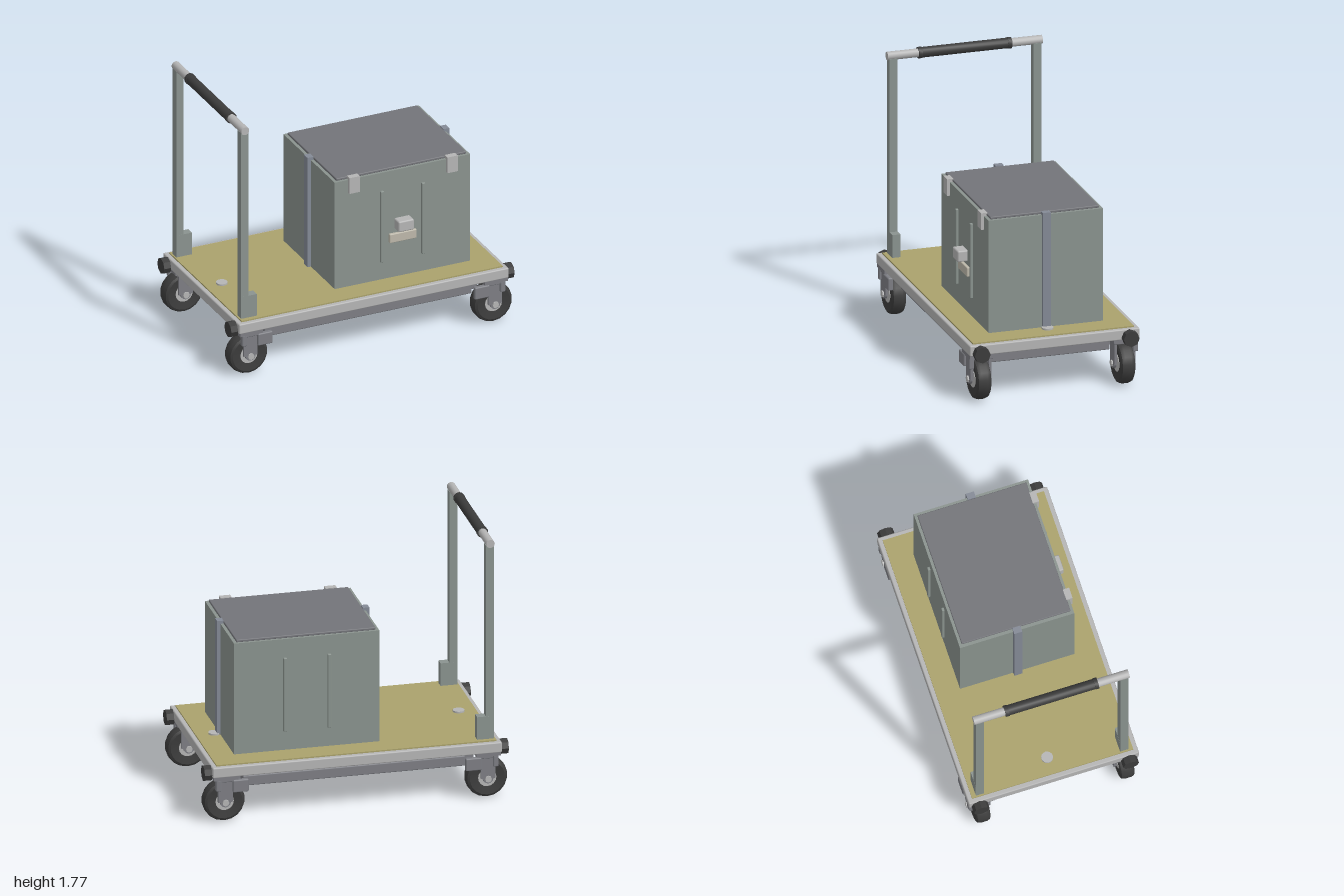
import * as THREE from 'three';
import { RoundedBoxGeometry } from 'three/addons/geometries/RoundedBoxGeometry.js';
import { toCreasedNormals } from 'three/addons/utils/BufferGeometryUtils.js';

const mat = (color) => new THREE.MeshStandardMaterial({ color });
const M = {
  light: mat(0xb5b5b5), steel: mat(0x7d7e84), dark: mat(0x5c5d61), rubber: mat(0x3c3c3c),
  post: mat(0x8a938f), shell: mat(0x8a938e), lid: mat(0x737479), strap: mat(0x848a96),
  deck: mat(0xaaa26c), cream: mat(0xbdb8aa),
};

export function createModel() {
  const model = new THREE.Group();

  const add = (name, geo, material, x, y, z, parent = model) => {
    const mesh = new THREE.Mesh(geo, material);
    mesh.name = name;
    mesh.position.set(x, y, z);
    parent.add(mesh);
    return mesh;
  };
  // Box given by its extents on each axis
  const box = (name, m, [x0, x1], [y0, y1], [z0, z1], parent, bevel = 0) => {
    const size = [x1 - x0, y1 - y0, z1 - z0];
    const geo = bevel ? new RoundedBoxGeometry(...size, 1, bevel) : new THREE.BoxGeometry(...size);
    return add(name, geo, m, (x0 + x1) / 2, (y0 + y1) / 2, (z0 + z1) / 2, parent);
  };
  // Cylinder along a chosen axis
  const rod = (name, m, r, len, axis, x, y, z, sides = 16, parent) => {
    const geo = new THREE.CylinderGeometry(r, r, len, sides);
    if (axis === 'x') geo.rotateZ(Math.PI / 2);
    if (axis === 'z') geo.rotateX(Math.PI / 2);
    return add(name, toCreasedNormals(geo, 0.6), m, x, y, z, parent);
  };

  // Deck: light outer frame, board and underside panel
  for (const s of [-1, 1]) {
    box('deckSideFrame', M.light, [-0.95, 0.95], [0.315, 0.385], s > 0 ? [0.52, 0.57] : [-0.57, -0.52], model, 0.008);
    box('deckEndFrame', M.light, s > 0 ? [0.90, 0.95] : [-0.95, -0.90], [0.315, 0.385], [-0.56, 0.56], model, 0.008);
  }
  box('deckBoard', M.deck, [-0.92, 0.92], [0.37, 0.394], [-0.54, 0.54]);
  box('undersidePanel', M.dark, [-0.91, 0.91], [0.312, 0.365], [-0.53, 0.53]);
  for (const x of [-0.805, 0.80]) rod('deckButton', M.light, 0.038, 0.012, 'y', x, 0.399, 0, 16);

  // Lower frame
  for (const s of [-1, 1]) {
    box('lowerSideRail', M.steel, [-0.73, 0.73], [0.21, 0.28], s > 0 ? [0.41, 0.48] : [-0.48, -0.41], model, 0.008);
    box('lowerEndRail', M.steel, s > 0 ? [0.73, 0.80] : [-0.80, -0.73], [0.205, 0.315], [-0.42, 0.42], model, 0.008);
  }
  for (const x of [-0.51, 0, 0.51]) {
    box('crossBar', M.steel, [x - 0.025, x + 0.025], [0.28, 0.315], [-0.48, 0.48]);
    box('crossBarFlange', M.dark, [x - 0.015, x + 0.015], [0.265, 0.28], [-0.42, 0.42]);
  }

  // Casters and corner bumpers
  const tyreProfile = [[0.055, -0.04], [0.115, -0.048], [0.13, -0.04], [0.137, -0.02], [0.137, 0.02],
    [0.13, 0.04], [0.115, 0.048], [0.055, 0.04]].map(([r, h]) => new THREE.Vector2(r, h));
  const tyreGeo = toCreasedNormals(new THREE.LatheGeometry(tyreProfile, 18).rotateX(Math.PI / 2), 0.6);
  for (const sx of [-1, 1]) for (const sz of [-1, 1]) {
    const caster = new THREE.Group();
    caster.name = 'caster';
    caster.position.set(sx * 0.862, 0, sz * 0.483);
    model.add(caster);
    add('tyre', tyreGeo, M.rubber, 0, 0.137, 0, caster);
    rod('hub', M.light, 0.06, 0.088, 'z', 0, 0.137, 0, 16, caster);
    rod('axle', M.light, 0.022, 0.16, 'z', 0, 0.137, 0, 8, caster);
    for (const s of [-1, 1]) {
      box('forkLeg', M.steel, [-0.048, 0.048], [0.14, 0.29], s > 0 ? [0.052, 0.07] : [-0.07, -0.052], caster);
      rod('forkEnd', M.steel, 0.035, 0.018, 'z', 0, 0.14, s * 0.061, 12, caster);
    }
    box('forkCrown', M.steel, [-0.065, 0.065], [0.278, 0.3], [-0.078, 0.078], caster, 0.006);
    box('casterPlate', M.steel, [-0.08, 0.08], [0.295, 0.318], [-0.085, 0.085], caster);
    // Bracket tying the caster to the lower frame
    const bx = sx > 0 ? [-0.15, -0.045] : [0.045, 0.15];
    box('casterBracket', M.steel, bx, [0.205, 0.29], sz > 0 ? [0.05, 0.085] : [-0.085, -0.05], caster, 0.008);
    box('casterBracketOuter', M.steel, sx > 0 ? [0.03, 0.066] : [-0.066, -0.03], [0.22, 0.3],
      sz > 0 ? [0.05, 0.085] : [-0.085, -0.05], caster, 0.008);
    rod('bumper', M.rubber, 0.053, 0.05, 'x', sx * 0.973, 0.332, sz * 0.5, 8);
    rod('bumperStem', M.rubber, 0.035, 0.04, 'x', sx * 0.94, 0.332, sz * 0.5, 8);
  }

  // Push handle
  for (const s of [-1, 1]) {
    const z = s * 0.483;
    box('handlePost', M.post, [-0.91, -0.858], [0.385, 1.715], [z - 0.027, z + 0.027]);
    box('postBracket', M.post, [-0.905, -0.80], [0.39, 0.548], [z - 0.028, z + 0.028]);
    rod('gripRing', M.rubber, 0.037, 0.025, 'z', -0.885, 1.73, s * 0.3, 16);
  }
  rod('handleBar', M.light, 0.028, 1.04, 'z', -0.885, 1.73, 0);
  rod('handleGrip', M.rubber, 0.034, 0.6, 'z', -0.885, 1.73, 0);

  // Storage case
  const box0 = new THREE.Group();
  box0.name = 'storageCase';
  model.add(box0);
  box('caseBody', M.shell, [-0.19, 0.765], [0.392, 1.152], [-0.383, 0.383], box0);
  box('caseLid', M.lid, [-0.17, 0.745], [1.15, 1.168], [-0.365, 0.365], box0, 0.005);
  for (const x of [[-0.213, -0.17], [0.745, 0.787]])
    box('sideStrap', M.strap, x, [0.394, 1.172], [-0.027, 0.027], box0);
  for (const x of [0.14, 0.43]) for (const s of [-1, 1])
    box('caseRib', M.shell, [x - 0.012, x + 0.012], [0.52, 1.025], s > 0 ? [0.37, 0.4] : [-0.4, -0.37], box0, 0.005);
  for (const x of [-0.058, 0.632])
    box('lidClip', M.light, [x - 0.037, x + 0.037], [1.06, 1.172], [0.36, 0.402], box0);
  box('latch', M.light, [0.23, 0.34], [0.735, 0.81], [0.37, 0.45], box0, 0.01);
  box('latchPlate', M.cream, [0.19, 0.38], [0.645, 0.708], [0.37, 0.402], box0, 0.006);

  return model;
}
